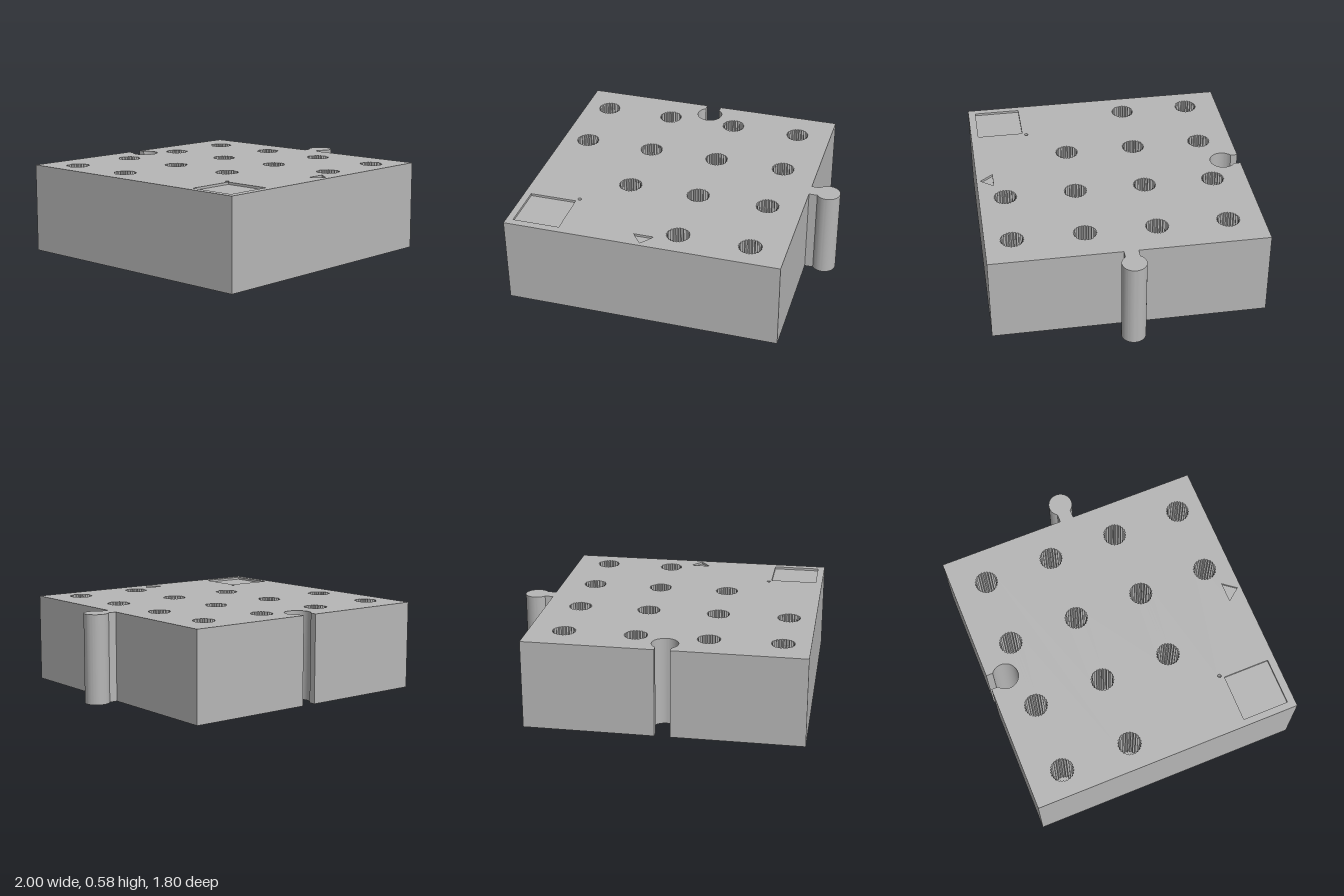
import * as THREE from 'three';
import { toCreasedNormals } from 'three/addons/utils/BufferGeometryUtils.js';

const H = 0.585;            // block height
const HOLE_DEPTH = 0.48;
const RECESS_DEPTH = 0.015;

const grey = new THREE.MeshStandardMaterial({ color: 0xb6b6b6 });
grey.name = 'plainGrey';

// Plan points are (x, -z): counter-clockwise seen from above is outward.
function outlinePoints() {
  const s = new THREE.Path();
  const knobR = 0.08, neck = 0.047, sockR = 0.086, slot = 0.05;
  const k = Math.PI - Math.asin(neck / knobR);
  const t = Math.asin(slot / sockR);
  s.moveTo(-1, -0.9);
  s.lineTo(0.8, -0.9);
  s.lineTo(0.8, -neck);
  s.absarc(0.92, 0, knobR, -k, k, false);            // knob on the left side
  s.lineTo(0.8, neck);
  s.lineTo(0.8, 0.9);
  s.lineTo(-0.1 + slot, 0.9);
  s.absarc(-0.1, 0.785, sockR, Math.PI / 2 - t, Math.PI / 2 + t, true); // socket at the back
  s.lineTo(-0.1 - slot, 0.9);
  s.lineTo(-1, 0.9);
  return s.getPoints(24);
}

// Ring of points round a centre, clockwise, with radius given by a rule
function ring(cx, cz, n, radius) {
  return Array.from({ length: n }, (_, i) => {
    const a = -i / n * Math.PI * 2, r = radius(a);
    return new THREE.Vector2(cx + r * Math.cos(a), -cz + r * Math.sin(a));
  });
}

// Vertical wall following a closed loop
function walls(points, y0, y1) {
  const pos = [];
  points.forEach((a, i) => {
    const b = points[(i + 1) % points.length];
    const a0 = [a.x, y0, -a.y], a1 = [a.x, y1, -a.y];
    const b0 = [b.x, y0, -b.y], b1 = [b.x, y1, -b.y];
    pos.push(...a0, ...b0, ...b1, ...a0, ...b1, ...a1);
  });
  const g = new THREE.BufferGeometry();
  g.setAttribute('position', new THREE.Float32BufferAttribute(pos, 3));
  return toCreasedNormals(g, 0.4);
}

// Flat upward face, optionally pierced
function face(points, y, holes = []) {
  const s = new THREE.Shape(points);
  s.holes = holes.map(h => new THREE.Path(h));
  return new THREE.ShapeGeometry(s).rotateX(-Math.PI / 2).translate(0, y, 0);
}

function mesh(name, geometry) {
  const m = new THREE.Mesh(geometry, grey);
  m.name = name;
  return m;
}

// Pocket sunk into the top: its wall and floor
function pocket(name, points, depth) {
  const g = new THREE.Group();
  g.name = name;
  g.add(mesh(name + 'Wall', walls(points, H - depth, H)));
  g.add(mesh(name + 'Floor', face(points, H - depth)));
  return g;
}

export function createModel() {
  const model = new THREE.Group();
  model.name = 'interlockingBlock';
  const outline = outlinePoints();
  const cuts = [];
  const cut = (name, points, depth) => {
    cuts.push(points);
    model.add(pocket(name, points, depth));
  };

  // Knurled holes, leaving the front right corner free
  for (let row = 0; row < 4; row++) {
    for (let col = Math.max(0, row - 1); col < 4; col++) {
      const points = ring(-0.825 + col * 0.465, -0.67 + row * 0.465, 144,
        a => 0.067 + 0.009 * Math.abs(Math.sin(12 * a)));
      cut('knurledHole', points, HOLE_DEPTH);
    }
  }

  // Shallow label recess, pin hole and arrow mark
  const v = (x, z) => new THREE.Vector2(x, -z);
  cut('labelRecess', [v(-0.955, 0.54), v(-0.645, 0.54), v(-0.645, 0.85), v(-0.955, 0.85)], RECESS_DEPTH);
  cut('pinHole', ring(-0.626, 0.513, 20, () => 0.012), 0.05);
  cut('arrowMark', [v(-0.167, 0.79), v(-0.035, 0.79), v(-0.101, 0.875)], RECESS_DEPTH);

  // Outer shell
  model.add(mesh('sideWalls', walls(outline, 0, H)));
  model.add(mesh('topFace', face(outline, H, cuts)));
  const mirrored = outline.map(p => new THREE.Vector2(p.x, -p.y));
  model.add(mesh('bottomFace',
    new THREE.ShapeGeometry(new THREE.Shape(mirrored)).rotateX(Math.PI / 2)));
  return model;
}
